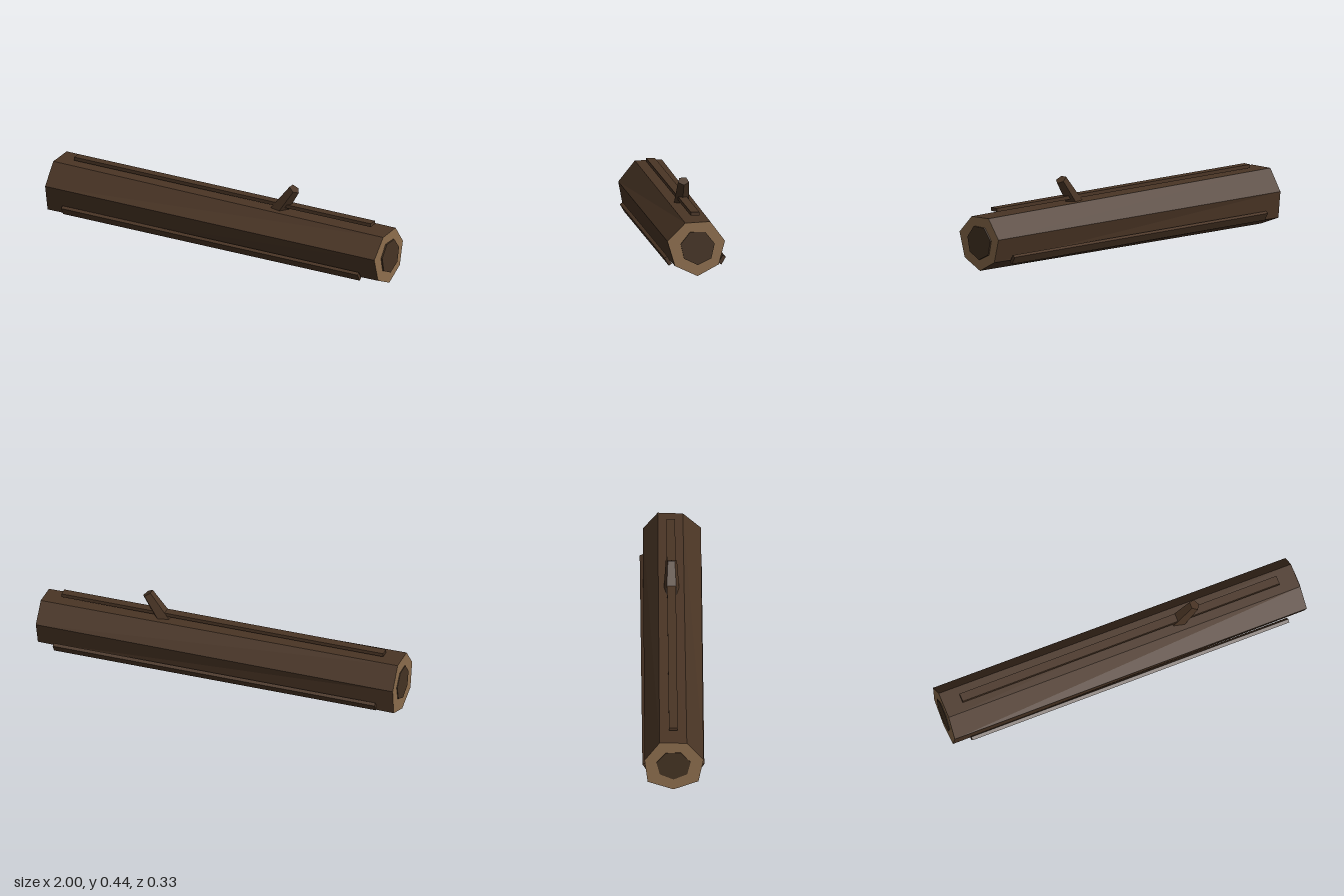
import * as THREE from 'three';

const flat = (name, color) => {
  const m = new THREE.MeshStandardMaterial({ color, flatShading: true });
  m.name = name;
  return m;
};

// Slightly irregular seven-sided end outlines as [z, y], from the bottom up the +z side
const THICK_END = [[0, 0.002], [0.131, 0.055], [0.158, 0.197], [0.07, 0.307], [-0.073, 0.31], [-0.152, 0.195], [-0.136, 0.053]];
const THIN_END = [[0, 0.01], [0.12, 0.066], [0.16, 0.198], [0.065, 0.293], [-0.067, 0.299], [-0.145, 0.195], [-0.112, 0.07]];

// Prism between the two outlines: group 0 is the sides, group 1 the ends
function logGeometry(x0, x1) {
  const a = THICK_END.map(([z, y]) => [x0, y, z]);
  const b = THIN_END.map(([z, y]) => [x1, y, z]);
  const n = a.length, sides = [], ends = [];
  for (let i = 0; i < n; i++) {
    const j = (i + 1) % n;
    sides.push(a[i], b[i], b[j], a[i], b[j], a[j]);
    ends.push([x0, 0.16, 0], a[i], a[j], [x1, 0.16, 0], b[j], b[i]);
  }
  const g = new THREE.BufferGeometry();
  g.setAttribute('position', new THREE.Float32BufferAttribute([...sides, ...ends].flat(), 3));
  g.addGroup(0, sides.length, 0);
  g.addGroup(sides.length, ends.length, 1);
  g.computeVertexNormals();
  return g;
}

export function createModel() {
  const root = new THREE.Group();
  root.name = 'log';
  const bark = flat('bark', 0x4a3525);
  const cutWood = flat('cutWood', 0x8f6f4e);
  const heartwood = flat('heartwood', 0x463424);
  const add = (name, geometry, material, parent = root) => {
    const mesh = new THREE.Mesh(geometry, material);
    mesh.name = name;
    parent.add(mesh);
    return mesh;
  };

  add('trunk', logGeometry(-0.996, 0.992), [bark, cutWood]);

  // Heartwood runs through the trunk and just shows at each end
  const core = new THREE.CylinderGeometry(0.092, 0.092, 2, 7, 1, false, Math.PI / 2);
  core.rotateZ(-Math.PI / 2);
  add('heartwoodCore', core, heartwood).position.y = 0.162;

  // Three bark ridges spaced evenly around the trunk
  for (let i = 0; i < 3; i++) {
    const pivot = new THREE.Group();
    pivot.name = 'barkRidge' + (i + 1);
    pivot.position.y = 0.16;
    pivot.rotation.x = i * Math.PI * 2 / 3;
    add('ridgeStrip', new THREE.BoxGeometry(1.79, 0.019, 0.046), bark, pivot).position.set(-0.003, 0.165, 0);
    root.add(pivot);
  }

  // Five-sided branch stub leaning toward +x, with its root inside the trunk
  const stub = new THREE.CylinderGeometry(0.031, 0.053, 0.27, 5, 1, false, Math.PI / 2);
  stub.translate(0, -0.135, 0);
  const branch = add('branchStub', stub, bark);
  branch.position.set(0.42, 0.424, 0);
  branch.rotation.z = -0.6;

  return root;
}
